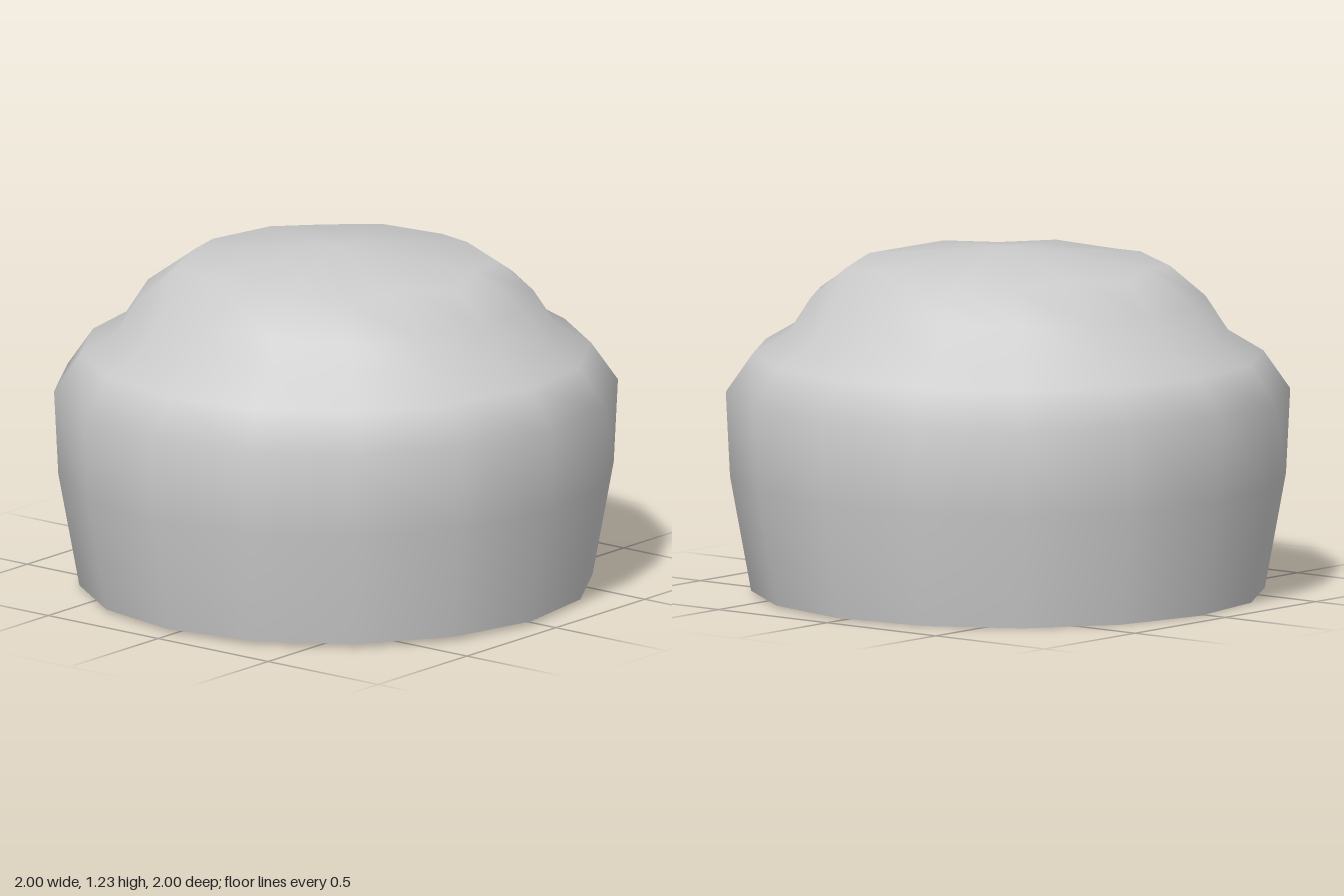
import * as THREE from 'three';
import { mergeVertices } from 'three/addons/utils/BufferGeometryUtils.js';

const SIDES = 16;

export function createModel() {
  const group = new THREE.Group();
  group.name = 'domedCap';

  // Outer profile from the open rim up to the peak: [radius, height]
  const profile = [
    [0.91, 0.01], [0.985, 0.42], [1.0, 0.722], [0.905, 0.858], [0.78, 0.932],
    [0.7, 1.055], [0.575, 1.162], [0, 1.235],
  ].map(([r, y]) => new THREE.Vector2(r, y));
  const crownRing = profile.length - 2;

  let geo = new THREE.LatheGeometry(profile, SIDES, THREE.MathUtils.degToRad(-1.8));
  const pos = geo.attributes.position;
  for (let i = 0; i < pos.count; i++) {
    const ring = i % profile.length;
    const side = Math.floor(i / profile.length);
    let x = pos.getX(i), y = pos.getY(i), z = pos.getZ(i);
    // Every second corner of the crown ring is pulled in and up
    if (ring === crownRing && side % 2 === 1) {
      x *= 0.52 / 0.575;
      z *= 0.52 / 0.575;
      y = 1.184;
    }
    // Very slight lean of the whole shell
    pos.setXYZ(i, x, y + 0.007 * z - 0.004 * x, z);
  }

  // Weld the seam and the peak so the shading is smooth all round
  geo.deleteAttribute('uv');
  geo.deleteAttribute('normal');
  geo = mergeVertices(geo, 1e-4);
  geo.computeVertexNormals();

  const material = new THREE.MeshStandardMaterial({ color: 0xcccccc, side: THREE.DoubleSide });
  const shell = new THREE.Mesh(geo, material);
  shell.name = 'shell';
  group.add(shell);
  return group;
}
